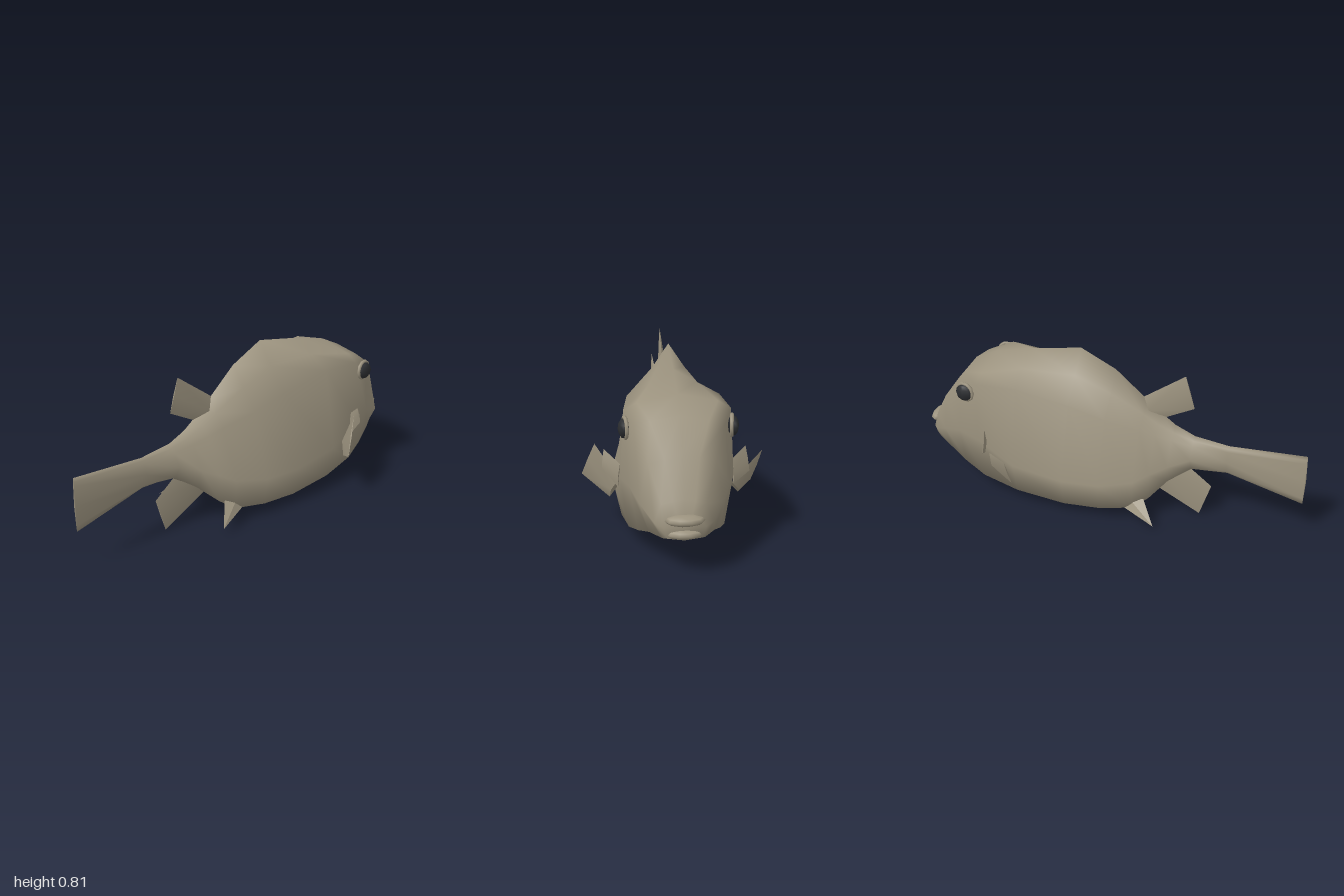
import * as THREE from 'three';
import { toCreasedNormals } from 'three/addons/utils/BufferGeometryUtils.js';
import { ConvexGeometry } from 'three/addons/geometries/ConvexGeometry.js';

const skin = new THREE.MeshStandardMaterial({ color: 0x9c937f });
skin.name = 'skin';
const eyeDark = new THREE.MeshStandardMaterial({ color: 0x2b2d30 });
eyeDark.name = 'eyeDark';

// Body stations: z, top y, back flatness, shoulder x y, side x y, keel x y, bottom y
const STATIONS = [
  [-0.95, 0.285, 0.5, 0.06, 0.27, 0.09, 0.23, 0.07, 0.18, 0.17],
  [-0.92, 0.34, 0.5, 0.095, 0.32, 0.125, 0.24, 0.09, 0.17, 0.16],
  [-0.83, 0.50, 0.5, 0.145, 0.47, 0.18, 0.29, 0.14, 0.16, 0.145],
  [-0.72, 0.64, 0.65, 0.195, 0.60, 0.22, 0.33, 0.18, 0.12, 0.10],
  [-0.60, 0.70, 0.75, 0.235, 0.63, 0.252, 0.32, 0.215, 0.085, 0.06],
  [-0.40, 0.755, 0.5, 0.21, 0.635, 0.278, 0.23, 0.24, 0.06, 0.03],
  [-0.14, 0.81, 0.45, 0.17, 0.58, 0.27, 0.20, 0.248, 0.055, 0.02],
  [0.04, 0.73, 0.45, 0.15, 0.53, 0.24, 0.20, 0.225, 0.06, 0.04],
  [0.20, 0.60, 0.45, 0.10, 0.48, 0.19, 0.23, 0.185, 0.08, 0.10],
  [0.27, 0.545, 0.5, 0.075, 0.45, 0.15, 0.27, 0.145, 0.13, 0.14],
  [0.35, 0.49, 0.5, 0.055, 0.43, 0.11, 0.31, 0.09, 0.22, 0.20],
  [0.45, 0.45, 0.5, 0.035, 0.41, 0.07, 0.35, 0.04, 0.285, 0.27],
  [0.62, 0.435, 0.5, 0.02, 0.41, 0.035, 0.36, 0.02, 0.30, 0.28],
  [0.995, 0.47, 0.5, 0.003, 0.43, 0.004, 0.33, 0.003, 0.23, 0.20],
];

function bodyGeometry() {
  const pos = [], idx = [], N = 10;
  for (const [z, yt, flat, xs, ys, xm, ym, xk, yk, yb] of STATIONS) {
    const half = [[xs * flat, (ys + yt) / 2], [xs, ys], [xm, ym], [xk, yk]];
    const ring = [[0, yt], ...half, [0, yb], ...half.slice().reverse().map(([x, y]) => [-x, y])];
    ring.forEach(([x, y]) => pos.push(x, y, z));
  }
  const rows = STATIONS.length, nose = rows * N, tail = nose + 1;
  pos.push(0, 0.225, -0.955, 0, 0.33, 1);
  for (let j = 0; j < N; j++) {
    const k = (j + 1) % N, end = (rows - 1) * N;
    for (let i = 0; i < rows - 1; i++) {
      const a = i * N + j, b = i * N + k;
      idx.push(a, a + N, b, b, a + N, b + N);
    }
    idx.push(nose, j, k, tail, end + k, end + j);
  }
  const g = new THREE.BufferGeometry();
  g.setAttribute('position', new THREE.Float32BufferAttribute(pos, 3));
  g.setIndex(idx);
  g.computeVertexNormals();
  return g;
}

// Thin four-cornered fin, swollen by t at the middle of its base (a to b)
function finGeometry(a, b, c, d, t) {
  const [A, B, C, D] = [a, b, c, d].map((p) => new THREE.Vector3(...p));
  const n = B.clone().sub(A).cross(D.clone().sub(A)).normalize();
  const pts = [A, B, C, D];
  const mid = A.clone().add(B).multiplyScalar(0.5);
  const outer = C.clone().add(D).multiplyScalar(0.5);
  for (const s of [-1, 1]) {
    pts.push(mid.clone().addScaledVector(n, s * t), outer.clone().addScaledVector(n, s * 0.003));
  }
  return toCreasedNormals(new ConvexGeometry(pts), 0.8);
}

export function createModel() {
  const group = new THREE.Group();
  const add = (name, geometry, material = skin) => {
    const mesh = new THREE.Mesh(geometry, material);
    mesh.name = name;
    group.add(mesh);
    return mesh;
  };

  add('body', bodyGeometry());

  // Centre fins
  add('dorsalFin', finGeometry([0, 0.60, 0.17], [0, 0.50, 0.26], [0, 0.60, 0.44], [0, 0.765, 0.39], 0.025));
  add('analFin', finGeometry([0, 0.27, 0.42], [0, 0.12, 0.23], [0, 0, 0.49], [0, 0.18, 0.545], 0.025));

  // Side fins, posed slightly differently on each side
  add('leftPectoralFin', finGeometry([0.255, 0.29, -0.54], [0.295, 0.175, -0.46],
    [0.42, 0.25, -0.35], [0.36, 0.43, -0.45], 0.02));
  add('rightPectoralFin', finGeometry([-0.255, 0.26, -0.54], [-0.295, 0.18, -0.46],
    [-0.37, 0.20, -0.36], [-0.42, 0.35, -0.37], 0.02));
  add('leftGillFlap', finGeometry([0.25, 0.37, -0.56], [0.26, 0.26, -0.56],
    [0.33, 0.35, -0.54], [0.32, 0.43, -0.525], 0.01));
  add('rightGillFlap', finGeometry([-0.25, 0.38, -0.56], [-0.26, 0.26, -0.56],
    [-0.335, 0.31, -0.53], [-0.315, 0.43, -0.525], 0.01));

  for (const s of [1, -1]) {
    const side = s > 0 ? 'left' : 'right';

    // Keel spine
    const spine = [[0.17, 0.13, 0.17], [0.19, 0.08, 0.15], [0.15, 0.09, 0.24], [0.16, 0.13, 0.25], [0.24, 0.04, 0.33]];
    add(side + 'KeelSpine', new ConvexGeometry(spine.map(([x, y, z]) => new THREE.Vector3(s * x, y, z))));

    // Eye and its lid
    const eye = add(side + 'Eye', new THREE.SphereGeometry(0.046, 8, 6), eyeDark);
    eye.position.set(s * 0.236, 0.572, -0.665);
    eye.scale.set(0.55, 0.95, 1);
    const lid = add(side + 'Eyelid', new THREE.TorusGeometry(0.045, 0.009, 6, 10));
    lid.position.set(s * 0.23, 0.574, -0.665);
    lid.rotation.set(0, Math.PI / 2 + s * 0.15, 0);
  }

  // Lips
  for (const [name, y, z, w] of [['upperLip', 0.262, -0.955, 0.085], ['lowerLip', 0.195, -0.935, 0.08]]) {
    const lip = add(name, new THREE.SphereGeometry(1, 10, 6));
    lip.position.set(0, y, z);
    lip.scale.set(w, 0.024, 0.042);
  }
  return group;
}
